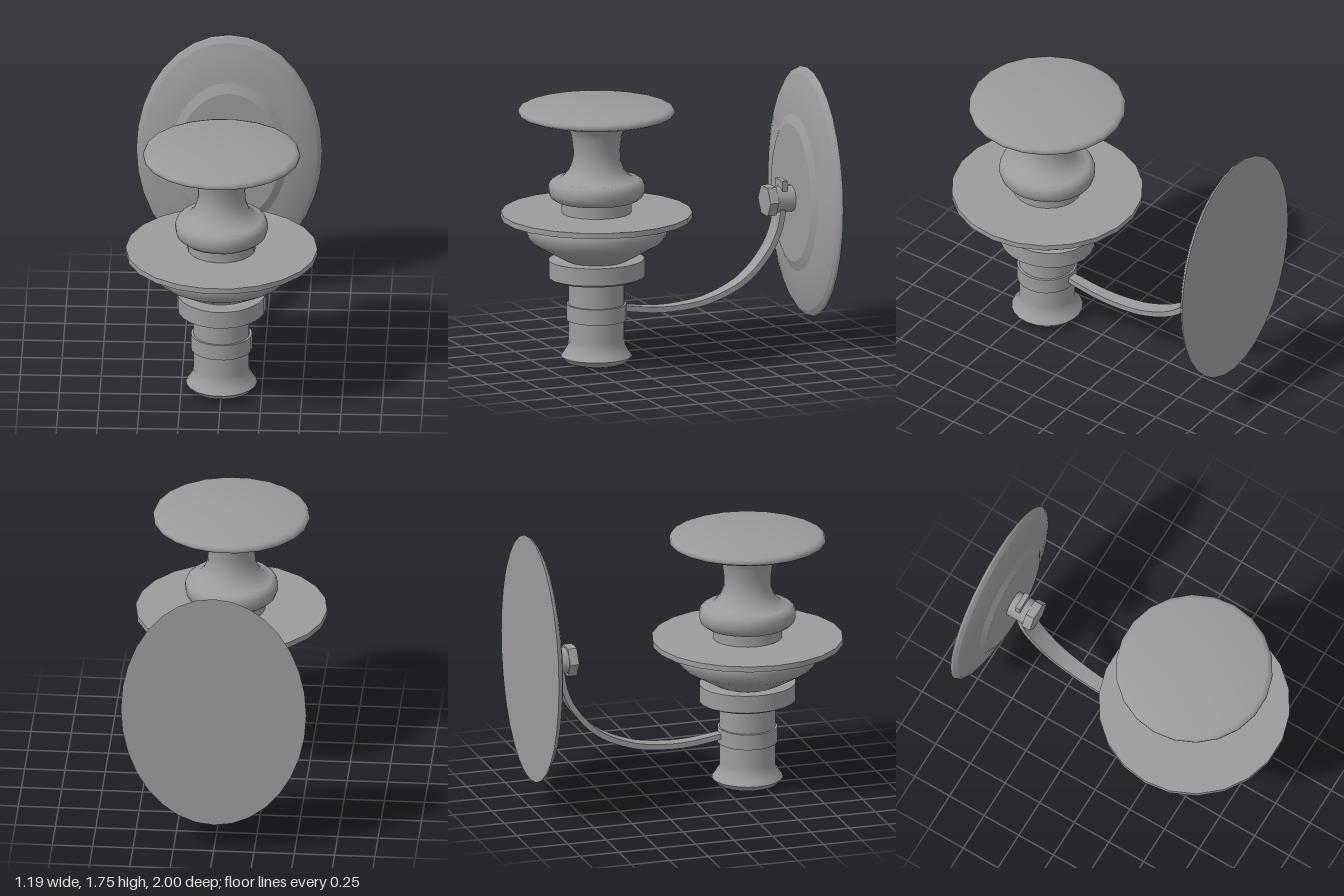
import * as THREE from 'three';
import { toCreasedNormals } from 'three/addons/utils/BufferGeometryUtils.js';

const material = new THREE.MeshStandardMaterial({ color: 0x9b9b9b });
const LAMP_Z = 0.413;
const STUD_Y = 0.933;

export function createModel() {
  const model = new THREE.Group();
  model.name = 'wallLamp';

  const add = (name, geometry, parent = model, crease = 0.6) => {
    const mesh = new THREE.Mesh(toCreasedNormals(geometry, crease), material);
    mesh.name = name;
    parent.add(mesh);
    return mesh;
  };
  const lathe = (profile, sides) =>
    new THREE.LatheGeometry(profile.map(([r, y]) => new THREE.Vector2(r, y)), sides);

  // Turned lamp body, stacked from the foot up; profiles are [radius, height],
  // depth makes a part slightly oval
  const lamp = new THREE.Group();
  lamp.name = 'lamp';
  lamp.position.z = LAMP_Z;
  model.add(lamp);
  const turned = [
    { name: 'stem', profile: [[0, 0], [0.14, 0.003], [0.19, 0.02], [0.221, 0.055], [0.2, 0.085],
      [0.177, 0.125], [0.174, 0.16], [0.174, 0.56], [0, 0.56]] },
    { name: 'stemBand', depth: 0.98,
      profile: [[0.17, 0.285], [0.19, 0.285], [0.19, 0.385], [0.17, 0.385]] },
    { name: 'collar', depth: 1.1,
      profile: [[0, 0.54], [0.24, 0.54], [0.275, 0.557], [0.275, 0.667], [0, 0.667]] },
    { name: 'bowl', crease: 1, profile: [[0, 0.66], [0.2, 0.667], [0.3, 0.723], [0.4, 0.781],
      [0.43, 0.813], [0.442, 0.855], [0.442, 0.885], [0.43, 0.91], [0, 0.91]] },
    { name: 'dripTray', profile: [[0, 0.905], [0.44, 0.905], [0.593, 0.93], [0.593, 0.965], [0, 0.965]] },
    { name: 'neck', depth: 1.03, profile: [[0, 0.96], [0.21, 0.96], [0.21, 1.05], [0, 1.05]] },
    { name: 'bulge', depth: 1.05, crease: 1, profile: [[0, 1.038], [0.21, 1.04], [0.25, 1.046],
      [0.277, 1.068], [0.287, 1.1], [0.287, 1.135], [0.277, 1.16], [0.255, 1.176], [0, 1.178]] },
    { name: 'flaredTop', crease: 1, profile: [[0.25, 1.17], [0.21, 1.19], [0.172, 1.23],
      [0.148, 1.295], [0.146, 1.36], [0.158, 1.45], [0.18, 1.51], [0.22, 1.55], [0.27, 1.566],
      [0.46, 1.578], [0.484, 1.59], [0.486, 1.605], [0.478, 1.622], [0.455, 1.63], [0, 1.632]] },
  ];
  for (const { name, profile, depth = 1, crease } of turned) {
    add(name, lathe(profile, 22).rotateY(Math.PI / 2).scale(1, 1, depth), lamp, crease);
  }

  // Oval wall plate with a raised flat centre
  const plate = lathe([[0, 0], [1, 0], [0.99, 0.014], [0.95, 0.033], [0.85, 0.056], [0.72, 0.075],
    [0.63, 0.083], [0.55, 0.108], [0, 0.108]], 32);
  plate.rotateX(Math.PI / 2).scale(0.575, 0.787, 1).translate(0, 0.967, -1);
  add('wallPlate', plate, model, 0.25);

  // Stud, hexagonal nut and small key on the wall plate
  const stud = new THREE.CylinderGeometry(0.083, 0.083, 0.15, 18).rotateX(Math.PI / 2);
  add('stud', stud).position.set(0, STUD_Y, -0.835);
  const nut = new THREE.CylinderGeometry(0.103, 0.103, 0.058, 6);
  nut.rotateY(Math.PI / 6).rotateX(Math.PI / 2);
  add('nut', nut).position.set(0, STUD_Y, -0.742);
  add('key', new THREE.BoxGeometry(0.115, 0.1, 0.034)).position.set(0, 1.008, -0.827);

  // Curved flat arm: a box bent along a curve, widening towards the wall
  const path = new THREE.CatmullRomCurve3([[0.345, 0.27], [0.34, 0.23], [0.315, 0.04],
    [0.313, -0.12], [0.345, -0.34], [0.45, -0.57], [0.615, -0.725], [0.75, -0.79], [0.875, -0.815]]
    .map(([y, z]) => new THREE.Vector3(0, y, z)));
  const arm = new THREE.BoxGeometry(1, 1, 1, 1, 1, 28);
  const pos = arm.attributes.position;
  for (let i = 0; i < pos.count; i++) {
    const t = THREE.MathUtils.clamp(0.5 - pos.getZ(i), 0, 1);
    const p = path.getPointAt(t);
    const d = path.getTangentAt(t);
    const offset = pos.getY(i) * 0.036;
    const width = THREE.MathUtils.lerp(0.062, 0.13, t);
    pos.setXYZ(i, pos.getX(i) * width, p.y - d.z * offset, p.z + d.y * offset);
  }
  add('arm', arm);

  return model;
}
